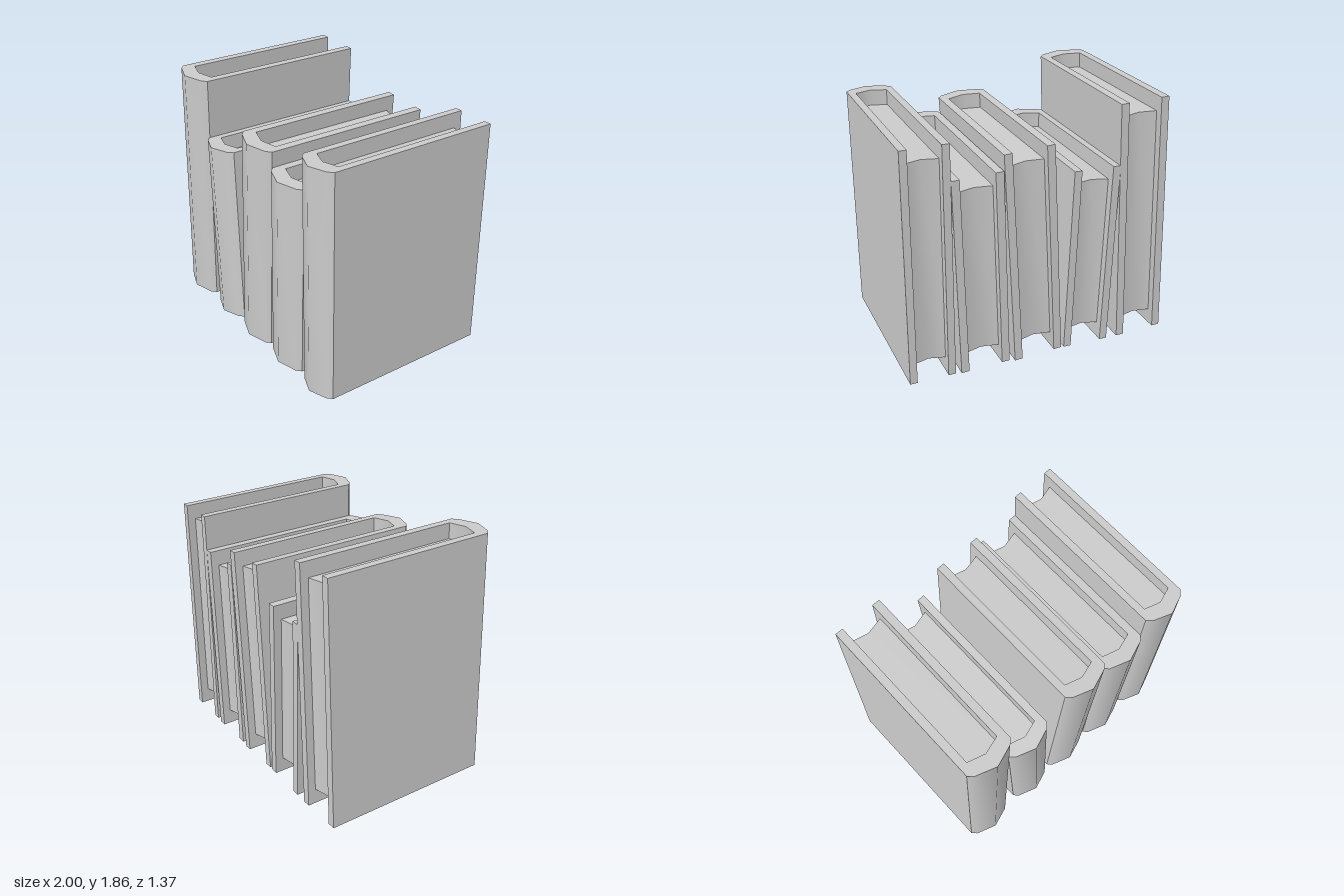
import * as THREE from 'three';
import { toCreasedNormals } from 'three/addons/utils/BufferGeometryUtils.js';

const material = new THREE.MeshStandardMaterial({ color: 0xcccccc });

// Extrude a plan outline of [x, z] points upwards from y = 0
function extrudePlan(points, height) {
  const shape = new THREE.Shape(points.map(([x, z]) => new THREE.Vector2(x, -z)));
  const geometry = new THREE.ExtrudeGeometry(shape, { depth: height, bevelEnabled: false });
  geometry.rotateX(-Math.PI / 2);
  return toCreasedNormals(geometry, 0.77);
}

function createBook(width, height) {
  const book = new THREE.Group();
  const w = width / 2;
  const inner = w * 0.68; // inside face of the boards
  const inset = 0.115; // pages are shorter than the cover
  const back = -0.685;

  // U-shaped cover with a faceted, rounded spine
  const cover = new THREE.Mesh(extrudePlan([
    [-w, back], [-w, 0.6], [-w + 0.035, 0.634], [0, 0.685], [w - 0.035, 0.634], [w, 0.6], [w, back],
    [inner, back], [inner, 0.535], [0, 0.572], [-inner, 0.535], [-inner, back],
  ], height), material);
  cover.name = 'cover';

  // Page block, hollowed along the fore edge
  const pages = new THREE.Mesh(extrudePlan([
    [-inner, 0.535], [0, 0.572], [inner, 0.535],
    [inner, -0.625], [0, -0.595], [-inner, -0.625],
  ], height - 2 * inset), material);
  pages.name = 'pages';
  pages.position.y = inset;

  book.add(cover, pages);
  return book;
}

export function createModel() {
  const model = new THREE.Group();
  model.name = 'bookRow';

  // Bottom centre x, y, width, height and sideways lean of each book
  const books = [
    [-0.814, 0.01, 0.37, 1.845, -0.034],
    [-0.363, 0.012, 0.356, 1.396, 0.032],
    [0.021, 0.011, 0.37, 1.618, -0.0535],
    [0.434, 0.011, 0.37, 1.487, -0.029],
    [0.8315, 0.015, 0.337, 1.738, 0],
  ];
  books.forEach(([x, y, width, height, lean], i) => {
    const book = createBook(width, height);
    book.name = `book${i + 1}`;
    book.position.set(x, y, 0);
    book.rotation.z = lean;
    model.add(book);
  });
  return model;
}
